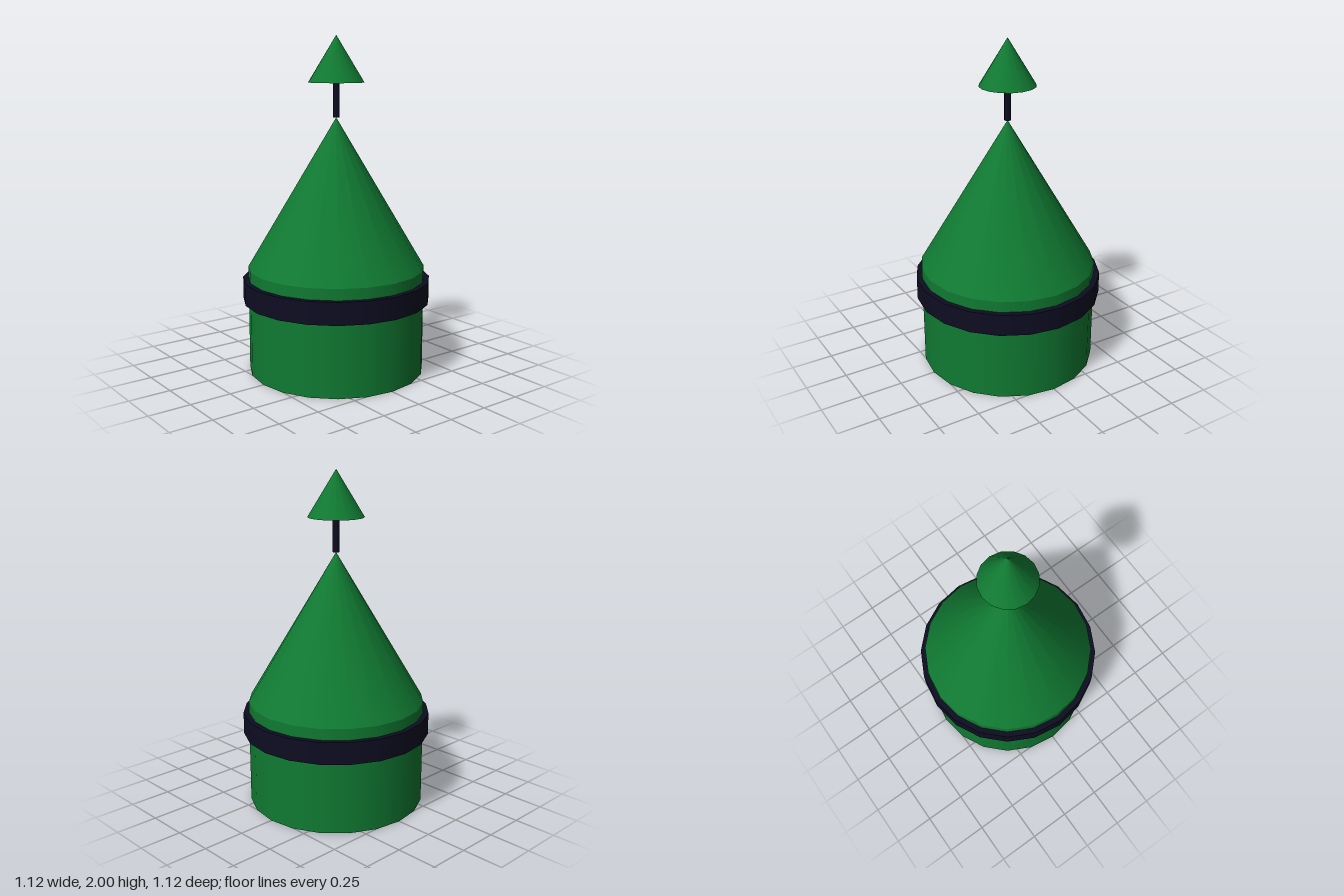
import * as THREE from 'three';

const green = new THREE.MeshStandardMaterial({ color: 0x107a32 });
green.name = 'green';
const navy = new THREE.MeshStandardMaterial({ color: 0x0d0d22 });
navy.name = 'dark navy';

export function createModel() {
  const group = new THREE.Group();
  group.name = 'coneTower';

  // Adds an upright round part spanning y0 to y1
  function addRound(name, material, rTop, rBottom, y0, y1, sides) {
    const geometry = new THREE.CylinderGeometry(rTop, rBottom, y1 - y0, sides);
    const mesh = new THREE.Mesh(geometry, material);
    mesh.name = name;
    mesh.position.y = (y0 + y1) / 2;
    group.add(mesh);
  }

  // Body, its band and the main roof
  addRound('body', green, 0.529, 0.529, 0, 0.632, 20);
  addRound('band', navy, 0.562, 0.562, 0.434, 0.566, 20);
  addRound('roof', green, 0, 0.529, 0.632, 1.525, 20);

  // Finial: thin stem carrying a small cone
  addRound('stem', navy, 0.02, 0.02, 1.525, 1.728, 8);
  addRound('finialCone', green, 0, 0.166, 1.728, 2, 16);

  return group;
}
